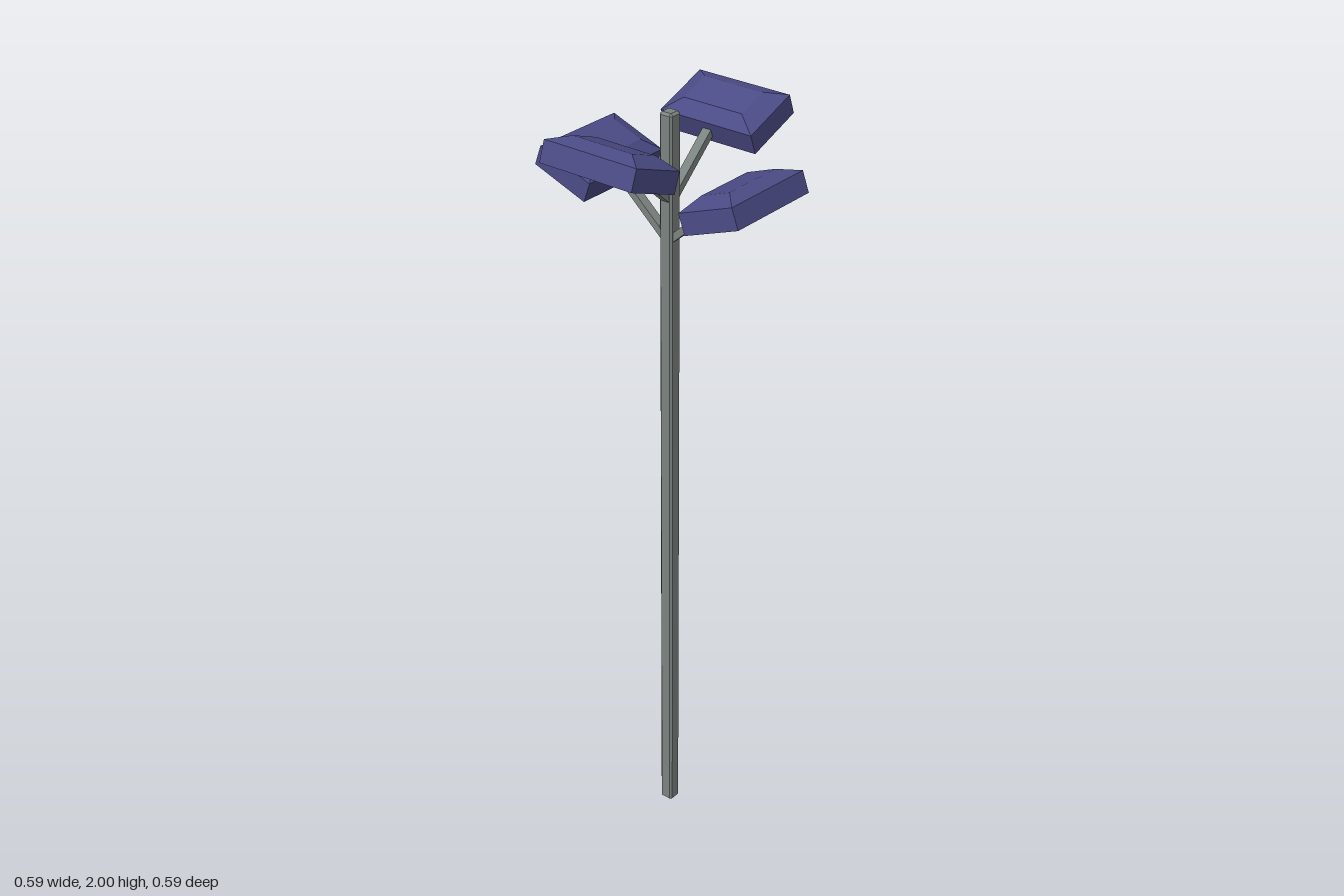
import * as THREE from 'three';

const metal = new THREE.MeshStandardMaterial({ name: 'grey metal', color: 0x7b8380, flatShading: true });
const purple = new THREE.MeshStandardMaterial({ name: 'purple housing', color: 0x4b4b86, flatShading: true });
const glass = new THREE.MeshStandardMaterial({ name: 'lens glass', color: 0xc4c4bd, flatShading: true });

function mesh(name, geometry, material) {
  const m = new THREE.Mesh(geometry, material);
  m.name = name;
  return m;
}

// Rectangle with cut corners, centred on the origin
function cutRectangle(halfX, halfY, cut) {
  const points = [];
  for (const [sx, sy, flip] of [[1, 1, 0], [-1, 1, 1], [-1, -1, 0], [1, -1, 1]]) {
    const pair = [
      new THREE.Vector2(sx * halfX, sy * (halfY - cut)),
      new THREE.Vector2(sx * (halfX - cut), sy * halfY),
    ];
    points.push(...(flip ? pair.reverse() : pair));
  }
  return new THREE.Shape(points);
}

// Lamp housing: a straight-sided box with a hipped top
const LENGTH = 0.158, SIDE = 0.053, HIP = 0.022, WIDTH = 0.264;
function housingGeometry() {
  const g = new THREE.BoxGeometry(LENGTH, 2, WIDTH, 1, 2, 1);
  const p = g.attributes.position;
  for (let i = 0; i < p.count; i++) {
    const level = Math.round(p.getY(i)) + 1;
    if (level === 2) {
      p.setX(i, p.getX(i) * 0.53);
      p.setZ(i, p.getZ(i) * 0.64);
    }
    p.setY(i, [0, SIDE, SIDE + HIP][level]);
  }
  const flat = g.toNonIndexed();
  flat.computeVertexNormals();
  return flat;
}

// One lamp on its arm, reaching out along +x
function createLamp(name) {
  const lamp = new THREE.Group();
  lamp.name = name;

  const start = new THREE.Vector2(0, 1.681), end = new THREE.Vector2(0.146, 1.811);
  const span = end.clone().sub(start);
  const arm = mesh('arm', new THREE.BoxGeometry(span.length(), 0.018, 0.024), metal);
  arm.position.set((start.x + end.x) / 2, (start.y + end.y) / 2, 0);
  arm.rotation.z = span.angle();
  lamp.add(arm);

  const head = new THREE.Group();
  head.name = 'lampHead';
  head.position.set(0.148, 1.782, 0);
  head.rotation.z = 0.354;
  const housing = mesh('housing', housingGeometry(), purple);
  housing.position.x = LENGTH / 2;

  // Thin lens on the underside
  const lensShape = cutRectangle(0.055, 0.092, 0.014);
  const lens = mesh('lens', new THREE.ExtrudeGeometry(lensShape, { depth: 0.004, bevelEnabled: false }), glass);
  lens.rotation.x = Math.PI / 2;
  lens.position.set(LENGTH / 2, 0.002, 0);
  head.add(housing, lens);
  lamp.add(head);
  return lamp;
}

export function createModel() {
  const model = new THREE.Group();
  model.name = 'floodlightMast';

  // Square pole with softened edges
  const bevel = 0.006;
  const pole = mesh('pole', new THREE.ExtrudeGeometry(cutRectangle(0.0125, 0.0125, 0.002), {
    depth: 2 - 2 * bevel, bevelThickness: bevel, bevelSize: bevel, bevelSegments: 1,
  }), metal);
  pole.rotation.x = -Math.PI / 2;
  pole.position.y = bevel;
  model.add(pole);

  // Four lamps; the side pair sits higher than the front and back pair
  ['leftLamp', 'backLamp', 'rightLamp', 'frontLamp'].forEach((name, i) => {
    const lamp = createLamp(name);
    lamp.rotation.y = i * Math.PI / 2;
    lamp.position.y = i % 2 ? 0 : 0.1;
    model.add(lamp);
  });
  return model;
}
